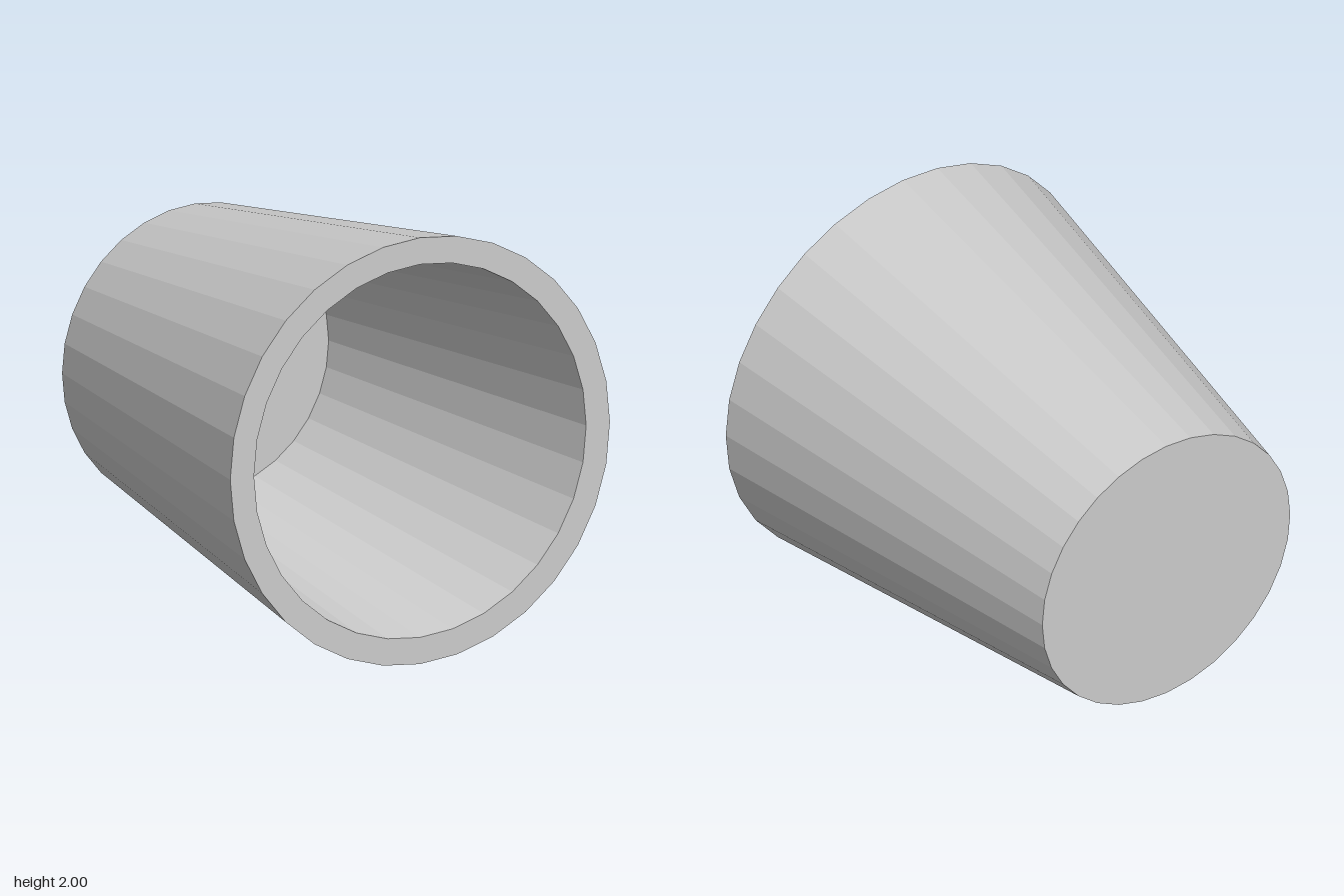
import * as THREE from 'three';

export function createModel() {
  const group = new THREE.Group();
  const material = new THREE.MeshStandardMaterial({ color: 0xcccccc, flatShading: true });

  // Closed profile (radius, distance along axis): base, outer wall, rim, inner wall, floor
  const profile = [
    [0, -1], [0.7, -1], [1, 1], [0.875, 1], [0.63, -0.875], [0, -0.875],
  ].map(([r, h]) => new THREE.Vector2(r, h));

  // Tapered cup lying on its side, open end facing the front
  const geometry = new THREE.LatheGeometry(profile, 32);
  geometry.rotateX(Math.PI / 2);
  const cup = new THREE.Mesh(geometry, material);
  cup.name = 'taperedCup';
  cup.position.y = 1;
  group.add(cup);

  return group;
}
